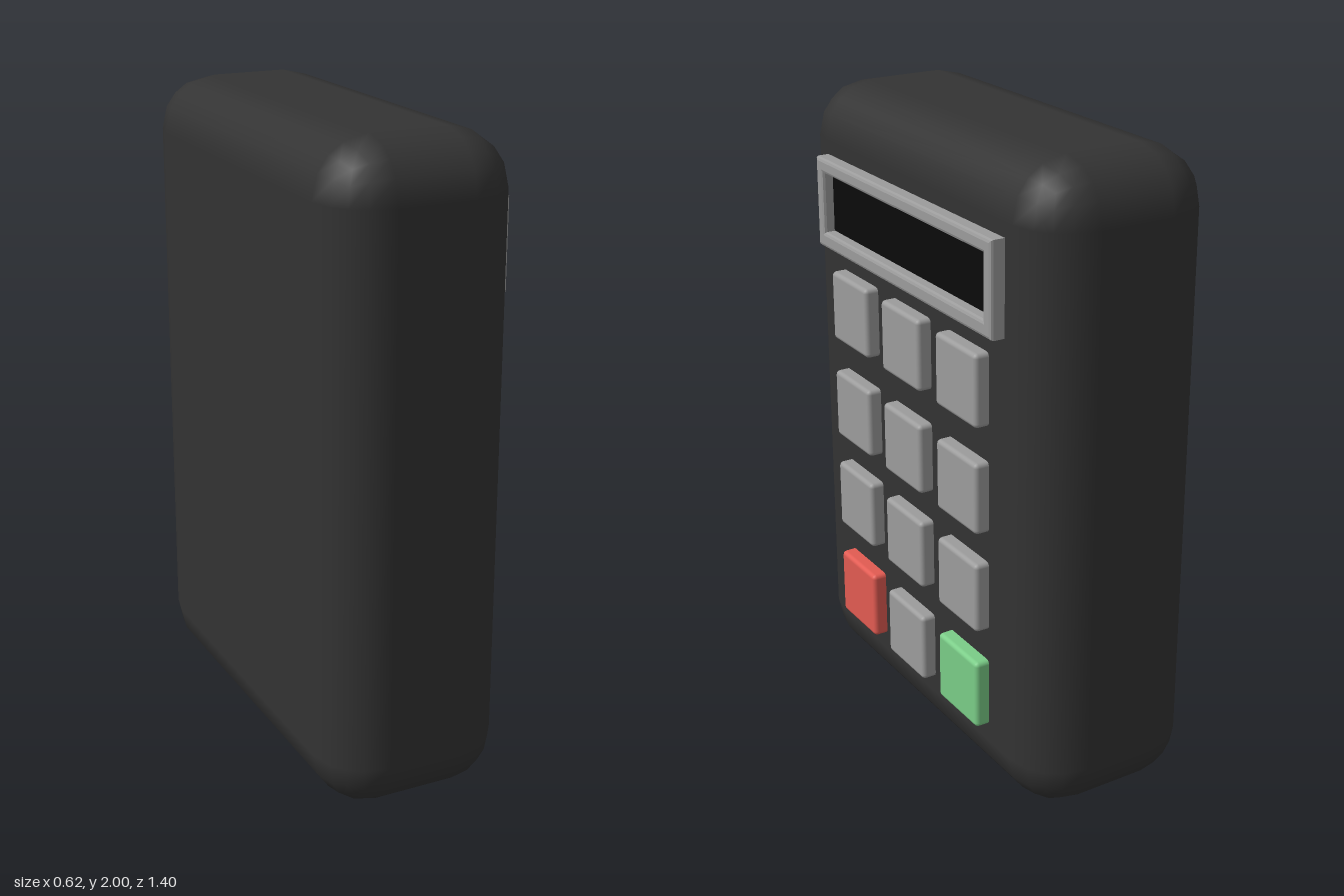
import * as THREE from 'three';
import { RoundedBoxGeometry } from 'three/addons/geometries/RoundedBoxGeometry.js';

const paint = (color) => new THREE.MeshStandardMaterial({ color });

// Rectangle outline, used for the frame and its opening
function rectangle(path, u0, u1, v0, v1) {
  path.moveTo(u0, v0);
  path.lineTo(u1, v0);
  path.lineTo(u1, v1);
  path.lineTo(u0, v1);
  path.closePath();
  return path;
}

export function createModel() {
  const model = new THREE.Group();
  model.name = 'keypad';

  const dark = paint(0x333333);
  const grey = paint(0x9c9c9c);
  const red = paint(0xe25b52);
  const green = paint(0x7acc87);
  const black = paint(0x0b0b0b);

  function add(name, geometry, material, x, y, z) {
    const mesh = new THREE.Mesh(geometry, material);
    mesh.name = name;
    mesh.position.set(x, y, z);
    model.add(mesh);
    return mesh;
  }

  // Softly rounded housing; its keyed face looks towards +x
  add('body', new RoundedBoxGeometry(0.575, 2, 1.405, 2, 0.17), dark, -0.0225, 1, 0);

  // Three columns by four rows of keys, with coloured bottom corners
  const keyGeometry = new RoundedBoxGeometry(0.09, 0.224, 0.224, 2, 0.014);
  const keys = new THREE.Group();
  keys.name = 'keys';
  model.add(keys);
  [1.325, 0.992, 0.67, 0.34].forEach((y, row) => {
    [0.33, 0.012, -0.308].forEach((z, column) => {
      let name = `key${row + 1}${column + 1}`;
      let material = grey;
      if (row === 3 && column === 0) [name, material] = ['cancelKey', red];
      if (row === 3 && column === 2) [name, material] = ['confirmKey', green];
      keys.add(add(name, keyGeometry, material, 0.265, y, z));
    });
  });

  // Bevelled display frame, drawn in (-z, y) and extruded along +x
  const outline = rectangle(new THREE.Shape(), -0.52, 0.5, 1.503, 1.787);
  outline.holes.push(rectangle(new THREE.Path(), -0.478, 0.458, 1.552, 1.742));
  const frameGeometry = new THREE.ExtrudeGeometry(outline, {
    depth: 0.05, bevelEnabled: true, bevelThickness: 0.01, bevelSize: 0.01,
    bevelOffset: -0.01, bevelSegments: 2,
  });
  frameGeometry.rotateY(Math.PI / 2);
  add('displayFrame', frameGeometry, grey, 0.25, 0, 0);

  // Display glass recessed inside the frame
  add('displayScreen', new THREE.BoxGeometry(0.04, 0.186, 0.932), black, 0.255, 1.647, 0.01);

  return model;
}
